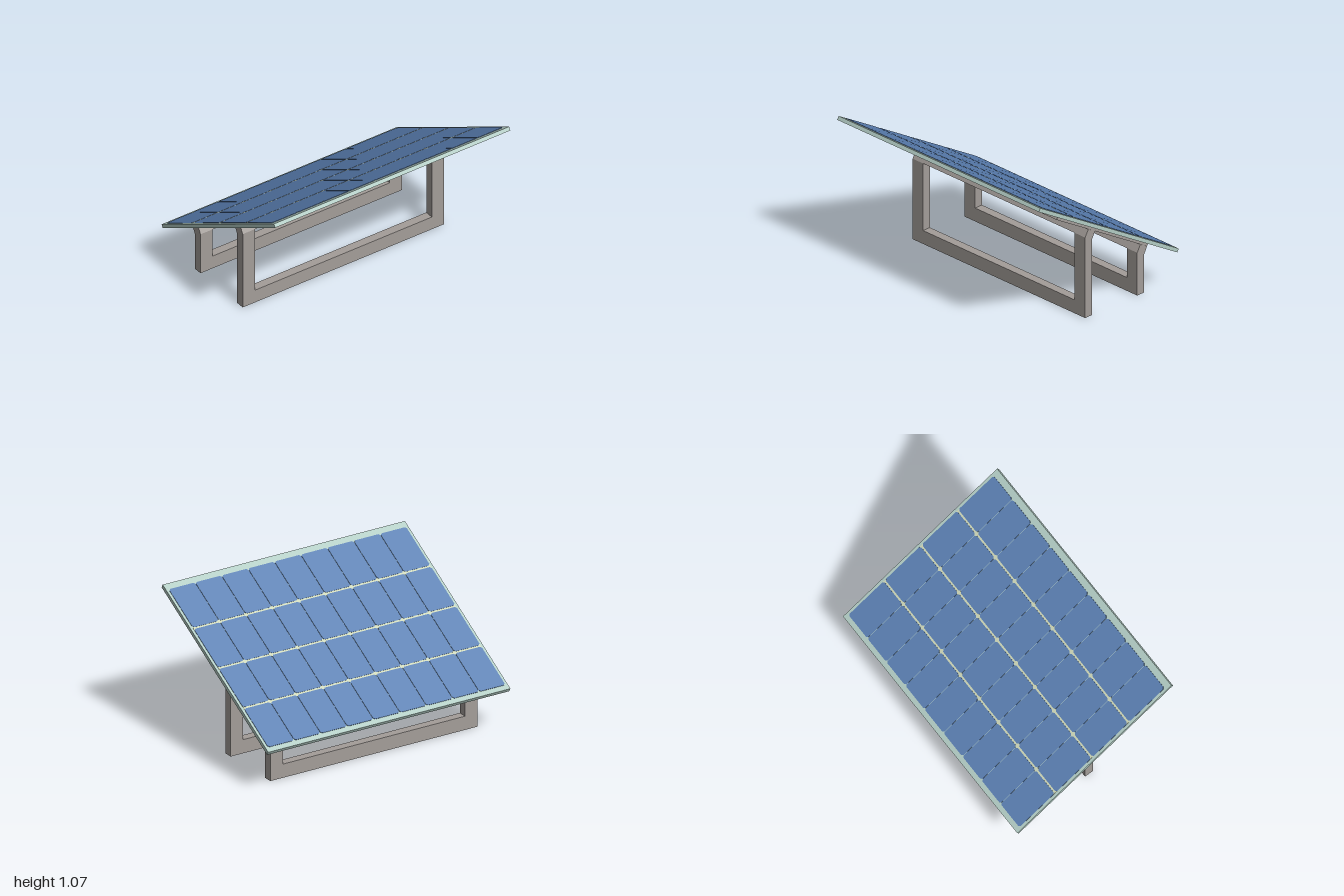
import * as THREE from 'three';

const material = (name, color) => {
  const m = new THREE.MeshStandardMaterial({ color });
  m.name = name;
  return m;
};

export function createModel() {
  const steel = material('grey steel', 0xa39d99);
  const frameMat = material('pale green frame', 0xb2ccc4);
  const cellMat = material('blue cell', 0x5a7fb2);
  const stripMat = material('cream strip', 0xcdd6b8);

  const model = new THREE.Group();
  model.name = 'solarPanel';

  // Side profile (x, y) extruded from z0 to z1
  function bar(name, points, z0, z1, mat, parent = model) {
    const shape = new THREE.Shape(points.map(([x, y]) => new THREE.Vector2(x, y)));
    const geo = new THREE.ExtrudeGeometry(shape, { depth: z1 - z0, bevelEnabled: false });
    geo.translate(0, 0, z0);
    const mesh = new THREE.Mesh(geo, mat);
    mesh.name = name;
    parent.add(mesh);
  }

  // Tilted panel body and the plate that carries it
  bar('panelFrame', [[-0.641, 0.29], [0.655, 1.041], [0.641, 1.065], [-0.655, 0.314]], -0.97, 0.97, frameMat);
  bar('mountingPlate', [[-0.494, 0.337], [0.353, 0.828], [0.337, 0.856], [-0.511, 0.365]], -0.83, 0.83, steel);

  // Leg frames: two posts, a sill and a bent top rail
  function legFrame(name, dx, dy) {
    const group = new THREE.Group();
    group.name = name;
    const l = -0.4665 + dx, r = -0.4015 + dx;
    const bendL = 0.285 + dy, bendR = 0.32 + dy;
    const post = [[l, 0], [r, 0], [r, bendR], [l, bendL]];
    bar('frontPost', post, 0.73, 0.83, steel, group);
    bar('backPost', post, -0.83, -0.73, steel, group);
    bar('sill', [[l, 0], [r, 0], [r, 0.1], [l, 0.1]], -0.73, 0.73, steel, group);
    bar('topRail', [[l, bendL], [r, bendR], [r - 0.03, bendR + 0.052], [l - 0.0275, bendL + 0.052]],
      -0.83, 0.83, steel, group);
    model.add(group);
  }
  legFrame('shortLegFrame', 0, 0);
  legFrame('tallLegFrame', 0.487, 0.2825);

  // Panel face, in its own tilted frame
  const face = new THREE.Group();
  face.name = 'cellField';
  face.position.set(-0.012, 0.6867, 0);
  face.rotation.z = Math.atan2(0.751, 1.296);
  model.add(face);

  const cols = 4, rows = 9, pitchX = 0.356, pitchZ = 0.2115;
  const w = (pitchX - 0.014) / 2, h = (pitchZ - 0.003) / 2, c = 0.012;
  // Cell with clipped corners
  const outline = [[-w + c, -h], [w - c, -h], [w, -h + c], [w, h - c], [w - c, h], [-w + c, h], [-w, h - c], [-w, -h + c]];
  const cellGeo = new THREE.ExtrudeGeometry(
    new THREE.Shape(outline.map(([x, y]) => new THREE.Vector2(x, y))),
    { depth: 0.003, bevelEnabled: false }
  ).rotateX(-Math.PI / 2);
  for (let i = 0; i < cols; i++) {
    for (let j = 0; j < rows; j++) {
      const cell = new THREE.Mesh(cellGeo, cellMat);
      cell.name = 'cell';
      cell.position.set((i - (cols - 1) / 2) * pitchX, 0, (j - (rows - 1) / 2) * pitchZ);
      face.add(cell);
    }
  }

  // Strips showing between the columns
  const stripGeo = new THREE.BoxGeometry(0.03, 0.002, rows * pitchZ - 0.004);
  for (let i = -1; i <= 1; i++) {
    const strip = new THREE.Mesh(stripGeo, stripMat);
    strip.name = 'columnStrip';
    strip.position.set(i * pitchX, 0.0008, 0);
    face.add(strip);
  }

  // Slight turn of the whole stand
  model.rotation.y = -0.0465;
  const root = new THREE.Group();
  root.name = 'solarPanelStand';
  root.add(model);
  return root;
}
